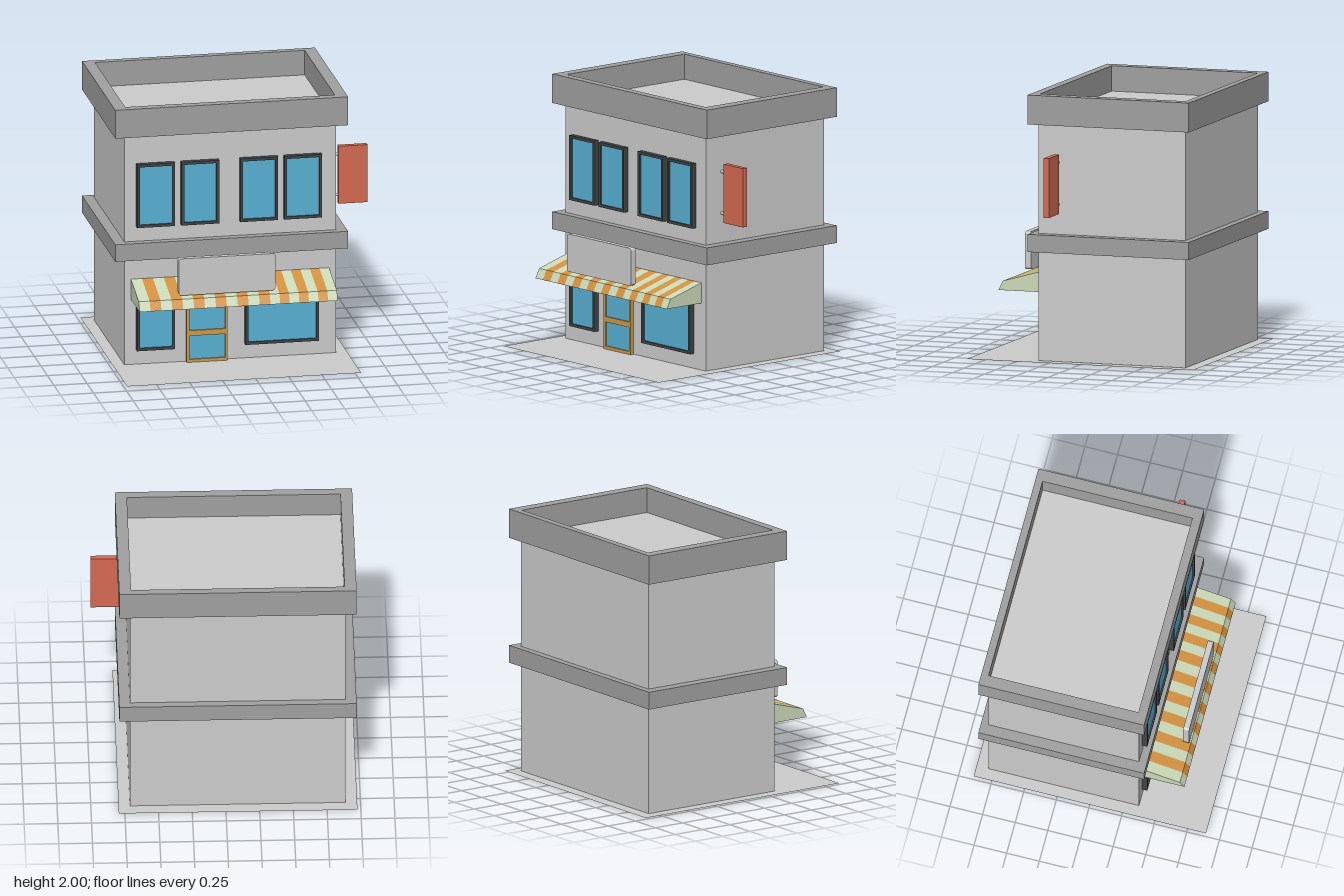
import * as THREE from 'three';

const mat = (color, side = THREE.FrontSide) => new THREE.MeshStandardMaterial({ color, side });
const GREY = mat(0xcccccc), TRIM = mat(0xa0a0a0), GLASS = mat(0x58b0d3), DARK = mat(0x404446);
const WOOD = mat(0xcc9a4a), RED = mat(0xd46a52);
const PALE = mat(0xcbd8b8, THREE.DoubleSide), ORANGE = mat(0xd2913f, THREE.DoubleSide);
const WALL = 0.355; // z of the front wall

function add(parent, name, geometry, material) {
  const mesh = new THREE.Mesh(geometry, material);
  mesh.name = name;
  parent.add(mesh);
  return mesh;
}

// Box given by its minimum and maximum on each axis
function box(parent, name, material, x0, x1, y0, y1, z0, z1) {
  const mesh = add(parent, name, new THREE.BoxGeometry(x1 - x0, y1 - y0, z1 - z0), material);
  mesh.position.set((x0 + x1) / 2, (y0 + y1) / 2, (z0 + z1) / 2);
  return mesh;
}

function rect(x0, x1, y0, y1, Type = THREE.Shape) {
  const p = new Type();
  p.moveTo(x0, y0).lineTo(x1, y0).lineTo(x1, y1).lineTo(x0, y1).closePath();
  return p;
}

// Frame on the front wall with glass panes set back in its openings
function framed(parent, name, material, [x0, x1, y0, y1], panes, depth) {
  const group = new THREE.Group();
  group.name = name;
  const shape = rect(x0, x1, y0, y1);
  for (const p of panes) {
    shape.holes.push(rect(...p, THREE.Path));
    box(group, 'glass', GLASS, ...p, WALL - 0.01, WALL + depth - 0.012);
  }
  const frame = add(group, 'frame',
    new THREE.ExtrudeGeometry(shape, { depth, bevelEnabled: false }), material);
  frame.position.z = WALL;
  parent.add(group);
}

function windowUnit(parent, name, x0, x1, y0, y1) {
  const t = 0.021;
  framed(parent, name, DARK, [x0, x1, y0, y1], [[x0 + t, x1 - t, y0 + t, y1 - t]], 0.04);
}

// Striped awning: a two-plane canopy with closed ends and an open underside
function awning(parent) {
  const group = new THREE.Group();
  group.name = 'awning';
  const profile = [[WALL, 0.665], [0.655, 0.58], [0.69, 0.51]]; // z, y
  const edges = [];
  for (let i = 0; i <= 12; i++) edges.push(-0.84 + i * 0.0825);
  for (let i = 1; i <= 7; i++) edges.push(0.15 + i * 0.0725);

  for (let i = 0; i < edges.length - 1; i++) {
    const pos = [];
    for (let j = 0; j < 2; j++) {
      const [za, ya] = profile[j], [zb, yb] = profile[j + 1];
      const a = [edges[i], ya, za], b = [edges[i], yb, zb];
      const c = [edges[i + 1], yb, zb], d = [edges[i + 1], ya, za];
      pos.push(...a, ...b, ...c, ...a, ...c, ...d);
    }
    const g = new THREE.BufferGeometry();
    g.setAttribute('position', new THREE.Float32BufferAttribute(pos, 3));
    g.computeVertexNormals();
    add(group, 'awningStripe', g, i % 2 ? ORANGE : PALE);
  }

  const side = new THREE.Shape([...profile, [WALL, 0.51]].map(([z, y]) => new THREE.Vector2(-z, y)));
  for (const x of [edges[0], edges[edges.length - 1]]) {
    const end = add(group, 'awningEnd', new THREE.ShapeGeometry(side), PALE);
    end.rotation.y = Math.PI / 2;
    end.position.x = x;
  }
  parent.add(group);
}

// Upright panel with rounded corners above the awning
function signPanel(parent) {
  const x0 = -0.535, x1 = 0.195, y0 = 0.605, y1 = 0.89, r = 0.022;
  const s = new THREE.Shape();
  s.absarc(x1 - r, y1 - r, r, 0, Math.PI / 2);
  s.absarc(x0 + r, y1 - r, r, Math.PI / 2, Math.PI);
  s.absarc(x0 + r, y0 + r, r, Math.PI, Math.PI * 1.5);
  s.absarc(x1 - r, y0 + r, r, Math.PI * 1.5, Math.PI * 2);
  const geo = new THREE.ExtrudeGeometry(s, { depth: 0.045, bevelEnabled: false, curveSegments: 5 });
  add(parent, 'signPanel', geo, GREY).position.z = 0.6;
}

export function createModel() {
  const model = new THREE.Group();
  model.name = 'shopBuilding';

  // Pavement sheet
  const ground = add(model, 'pavement', new THREE.PlaneGeometry(1.77, 1.78), mat(0xcccccc, THREE.DoubleSide));
  ground.rotation.x = -Math.PI / 2;
  ground.position.set(-0.09, 0.002, 0);

  // Walls, with the flat roof as their top
  box(model, 'walls', GREY, -0.89, 0.71, 0.004, 1.81, -0.8, WALL);

  // Ledge between the floors
  box(model, 'ledge', TRIM, -0.97, 0.79, 0.825, 0.957, -0.855, 0.415);

  // Parapet ring around the roof
  const ring = rect(-0.97, 0.79, -0.415, 0.855);
  ring.holes.push(rect(-0.882, 0.702, -0.348, 0.8, THREE.Path));
  const parapet = add(model, 'parapet',
    new THREE.ExtrudeGeometry(ring, { depth: 0.22, bevelEnabled: false }), TRIM);
  parapet.rotation.x = -Math.PI / 2;
  parapet.position.y = 1.78;

  // Windows
  for (const x of [-0.8, -0.465, -0.02, 0.312]) windowUnit(model, 'upperWindow', x, x + 0.285, 1.07, 1.56);
  windowUnit(model, 'shopWindowSmall', -0.8, -0.515, 0.115, 0.512);
  windowUnit(model, 'shopWindowLarge', 0.02, 0.575, 0.115, 0.512);

  // Door with two panes
  framed(model, 'door', WOOD, [-0.425, -0.115, 0, 0.445],
    [[-0.403, -0.132, 0.025, 0.207], [-0.403, -0.132, 0.248, 0.43]], 0.028);

  awning(model);
  signPanel(model);

  // Projecting sign on the left wall, held by two round brackets
  box(model, 'sideSign', RED, 0.755, 0.975, 1.115, 1.56, 0.18, 0.222);
  for (const y of [1.18, 1.495]) {
    const bracket = add(model, 'signBracket', new THREE.CylinderGeometry(0.012, 0.012, 0.055, 12), GREY);
    bracket.rotation.z = Math.PI / 2;
    bracket.position.set(0.733, y, 0.201);
  }
  return model;
}
